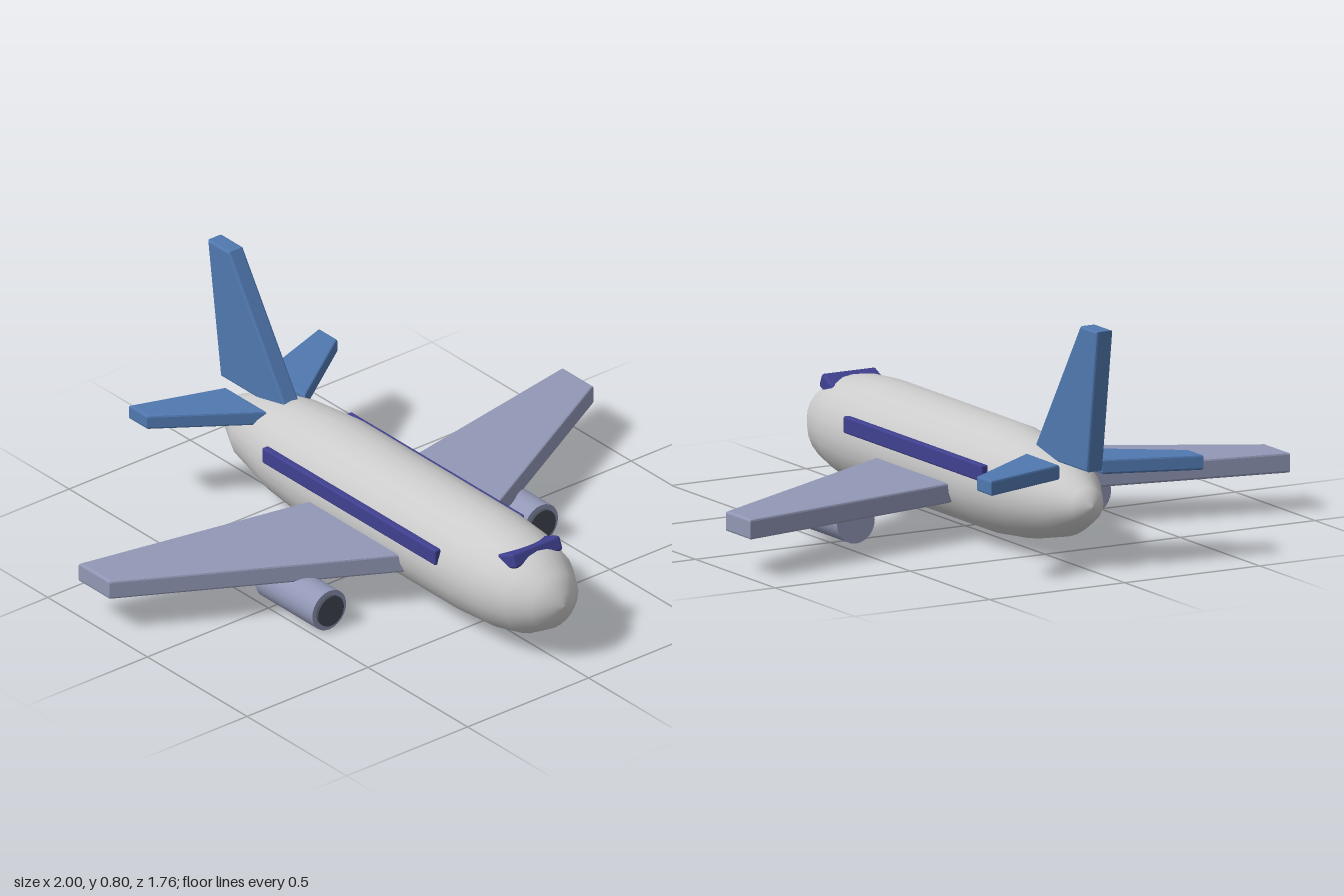
import * as THREE from 'three';
import { RoundedBoxGeometry } from 'three/addons/geometries/RoundedBoxGeometry.js';

const mat = (color) => new THREE.MeshStandardMaterial({ color });

export function createModel() {
  const model = new THREE.Group();
  model.name = 'airliner';
  const hull = mat(0xcccccc), wingGrey = mat(0x9298b6), tailBlue = mat(0x5078b0);
  const glass = mat(0x404090), dark = mat(0x444a55);

  const add = (name, geometry, material, x = 0, y = 0, z = 0) => {
    const mesh = new THREE.Mesh(geometry, material);
    mesh.name = name;
    mesh.position.set(x, y, z);
    model.add(mesh);
    return mesh;
  };

  // Bevelled slab, extruded from a four-cornered outline and centred on its thickness
  const slab = (corners, thickness) => {
    const bevel = 0.007;
    const shape = new THREE.Shape(corners.map(([a, b]) => new THREE.Vector2(a, b)));
    return new THREE.ExtrudeGeometry(shape, {
      depth: thickness - 2 * bevel, bevelEnabled: true, bevelSize: bevel,
      bevelThickness: bevel, bevelOffset: -bevel, bevelSegments: 2,
    }).translate(0, 0, bevel - thickness / 2);
  };
  // Horizontal slab from [x, z] corners, on either side
  const flatSlab = (side, corners, thickness) =>
    slab(corners.map(([x, z]) => [side * x, -z]), thickness).rotateX(-Math.PI / 2);

  // Fuselage: [radius, z] profile from tail to nose
  const profile = [
    [0, -0.8], [0.03, -0.79], [0.06, -0.765], [0.122, -0.65], [0.162, -0.47], [0.18, -0.28],
    [0.18, 0.5], [0.17, 0.64], [0.145, 0.75], [0.098, 0.83], [0.045, 0.869], [0, 0.88],
  ].map(([r, z]) => new THREE.Vector2(r, z));
  add('fuselage', new THREE.LatheGeometry(profile, 24).rotateX(Math.PI / 2), hull, 0, 0.21, 0);

  // Cockpit window, tilted up at the front
  const cockpit = add('cockpitWindow', new RoundedBoxGeometry(0.2, 0.05, 0.1, 3, 0.01), glass, 0, 0.332, 0.7);
  cockpit.rotation.x = -0.42;

  // Upright tail fin from [z, y] corners
  const fin = [[-0.47, 0.33], [-0.77, 0.8], [-0.877, 0.8], [-0.812, 0.33]];
  add('tailFin', slab(fin, 0.06).rotateY(-Math.PI / 2), tailBlue);

  for (const side of [1, -1]) {
    const label = side > 0 ? 'left' : 'right';

    // Swept wing and tailplane
    const wing = [[0.16, 0.272], [1, -0.19], [1, -0.345], [0.16, -0.187]];
    add(label + 'Wing', flatSlab(side, wing, 0.066), wingGrey, 0, 0.162, 0);
    const tailplane = [[0.08, -0.52], [0.393, -0.738], [0.393, -0.83], [0.08, -0.725]];
    add(label + 'Tailplane', flatSlab(side, tailplane, 0.05), tailBlue, 0, 0.32, 0);

    // Cabin window strip
    add(label + 'WindowStrip', new RoundedBoxGeometry(0.025, 0.055, 0.87, 2, 0.006),
      glass, side * 0.173, 0.268, 0.02);

    // Engine with dark intake
    const along = (r, length) => new THREE.CylinderGeometry(r, r, length, 24).rotateX(Math.PI / 2);
    add(label + 'Engine', along(0.07, 0.285), wingGrey, side * 0.438, 0.072, 0.088);
    add(label + 'EngineIntake', along(0.053, 0.04), dark, side * 0.438, 0.072, 0.22);
  }
  return model;
}
